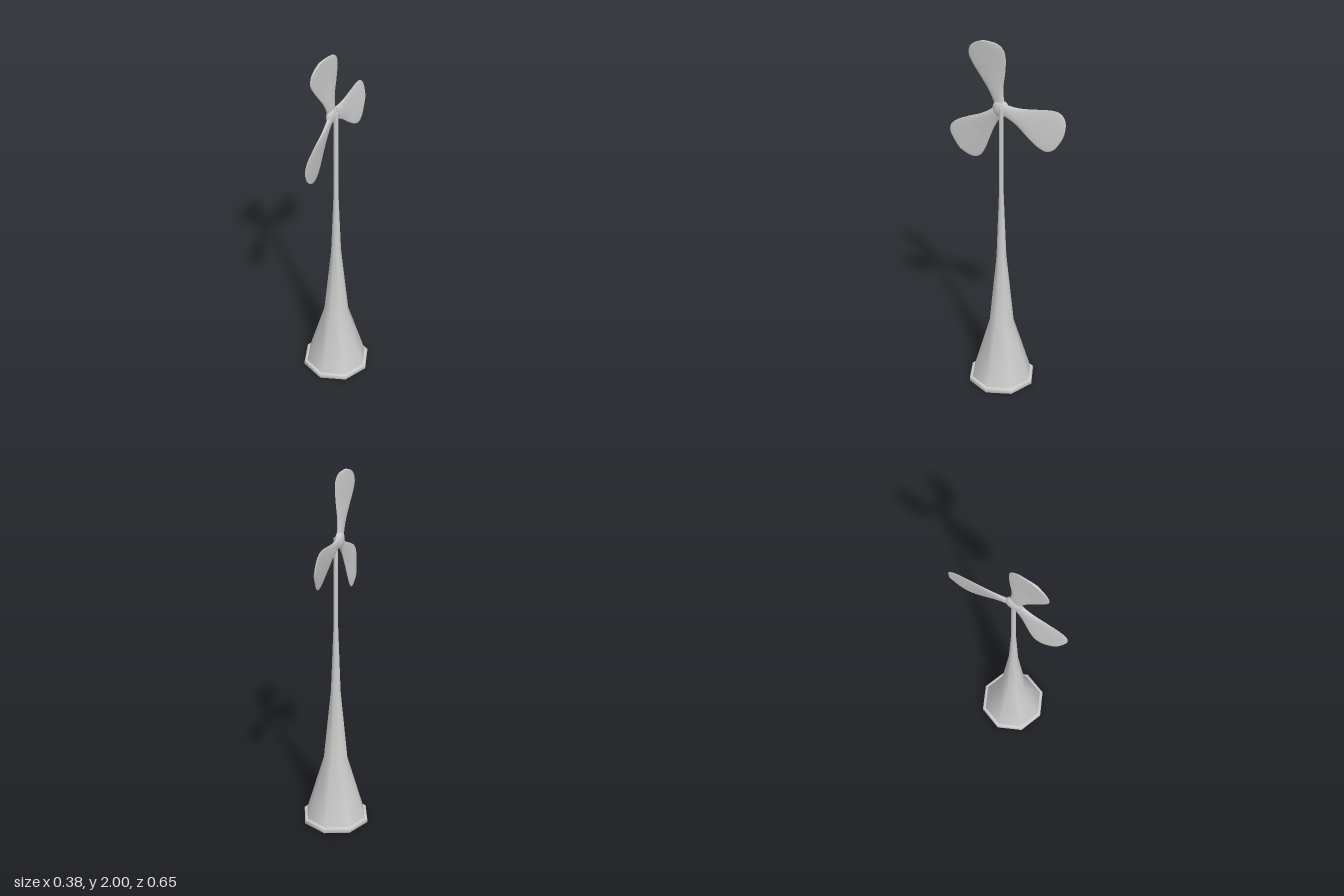
import * as THREE from 'three';

const material = new THREE.MeshStandardMaterial({ color: 0xcccccc, side: THREE.DoubleSide });

function addMesh(parent, name, geometry) {
  const mesh = new THREE.Mesh(geometry, material);
  mesh.name = name;
  parent.add(mesh);
  return mesh;
}

// Eight-sided turned part from [radius, height] pairs
function turned(profile) {
  return new THREE.LatheGeometry(profile.map(([r, y]) => new THREE.Vector2(r, y)), 8);
}

// Pitched paddle blade lofted along +y from lens-shaped sections
function bladeGeometry() {
  // distance from hub, wide-side edge, straight-side edge
  const stations = [
    [0, 0.03, -0.03], [0.055, 0.034, -0.036], [0.11, 0.046, -0.052],
    [0.185, 0.073, -0.088], [0.26, 0.1, -0.115], [0.3, 0.106, -0.115],
    [0.332, 0.094, -0.092], [0.353, 0.066, -0.045], [0.36, 0.035, -0.018], [0.362, 0.01, 0.01],
  ];
  const curve = new THREE.CatmullRomCurve3(stations.map((s) => new THREE.Vector3(...s)));
  const rows = 45, sides = 20;
  const positions = [], index = [];
  for (let i = 0; i <= rows; i++) {
    const { x: r, y: wide, z: straight } = curve.getPoint(i / rows);
    const mid = (wide + straight) / 2;
    const half = Math.max(0, (wide - straight) / 2);
    const thick = Math.min(0.006 + 0.008 * Math.max(0, 1 - r / 0.2), half * 0.4);
    for (let j = 0; j < sides; j++) {
      const t = (j / sides) * Math.PI * 2;
      const v = mid + half * Math.cos(t);
      positions.push(-0.12 * v + thick * Math.sin(t), r, v);
      if (i === rows) continue;
      const k = (j + 1) % sides;
      const a = i * sides + j, b = i * sides + k;
      index.push(a, b, a + sides, b, b + sides, a + sides);
    }
  }
  const geometry = new THREE.BufferGeometry();
  geometry.setAttribute('position', new THREE.Float32BufferAttribute(positions, 3));
  geometry.setIndex(index);
  geometry.computeVertexNormals();
  return geometry;
}

export function createModel() {
  const model = new THREE.Group();
  model.name = 'windTurbine';

  // Tower on a bevelled octagonal plinth
  const tower = new THREE.Group();
  tower.name = 'tower';
  tower.position.z = 0.02;
  model.add(tower);
  addMesh(tower, 'plinthUnderside', turned([[0, 0], [0.184, 0]]));
  addMesh(tower, 'plinth', turned([[0.184, 0], [0.19, 0.006], [0.19, 0.024], [0.184, 0.031], [0.17, 0.031]]));
  addMesh(tower, 'mast', turned([
    [0.173, 0.03], [0.071, 0.375], [0.028, 0.8], [0.0135, 1.17], [0.0125, 1.663],
  ]));
  addMesh(tower, 'mastCap', turned([[0.0125, 1.663], [0, 1.663]]));

  // Rotor on the side of the mast top
  const rotor = new THREE.Group();
  rotor.name = 'rotor';
  rotor.position.set(-0.017, 1.652, 0.03);
  model.add(rotor);
  const hub = addMesh(rotor, 'hub', new THREE.SphereGeometry(1, 24, 16));
  hub.scale.set(0.022, 0.047, 0.047);

  const blade = bladeGeometry();
  for (let i = 0; i < 3; i++) {
    const mesh = addMesh(rotor, 'blade' + (i + 1), blade);
    mesh.rotation.x = THREE.MathUtils.degToRad(17 + 120 * i);
  }
  return model;
}
